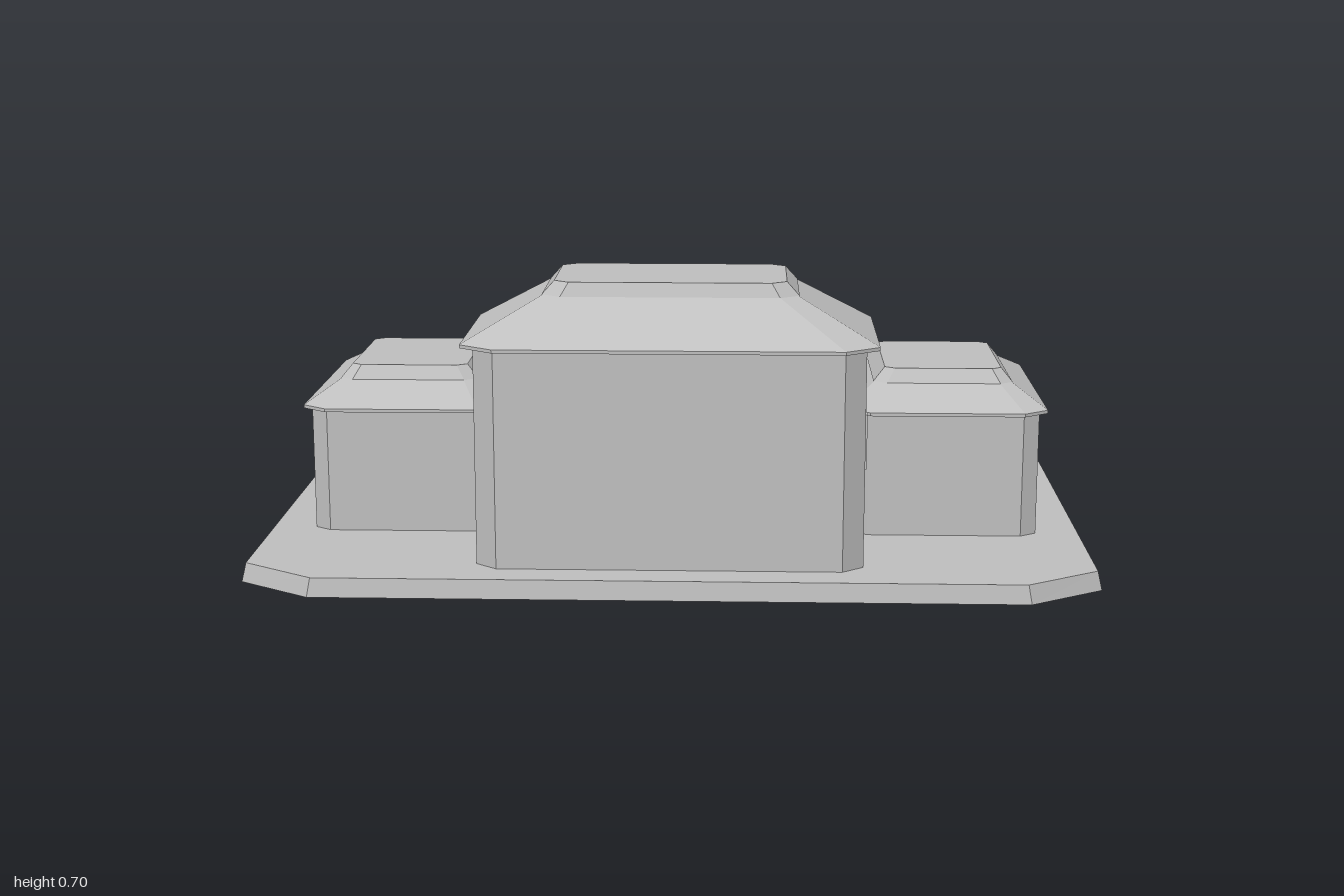
import * as THREE from 'three';

const stone = new THREE.MeshStandardMaterial({ color: 0xc0c0c0, flatShading: true, side: THREE.DoubleSide });
stone.name = 'plain grey';

function part(parent, name, geometry, x = 0, y = 0, z = 0) {
  const mesh = new THREE.Mesh(geometry, stone);
  mesh.name = name;
  mesh.position.set(x, y, z);
  parent.add(mesh);
  return mesh;
}

function group(parent, name, x = 0, y = 0, z = 0) {
  const g = new THREE.Group();
  g.name = name;
  g.position.set(x, y, z);
  parent.add(g);
  return g;
}

// Box from its limits on each axis
function block(parent, name, [x0, x1], [y0, y1], [z0, z1]) {
  return part(parent, name, new THREE.BoxGeometry(x1 - x0, y1 - y0, z1 - z0),
    (x0 + x1) / 2, (y0 + y1) / 2, (z0 + z1) / 2);
}

// Closed solid through corner-cut rectangles: [y, halfX, halfZ, cutX, cutZ]
function cutLoft(layers) {
  const rings = layers.map(([y, hx, hz, cx, cz]) => [
    [hx, y, hz - cz], [hx, y, cz - hz], [hx - cx, y, -hz], [cx - hx, y, -hz],
    [-hx, y, cz - hz], [-hx, y, hz - cz], [cx - hx, y, hz], [hx - cx, y, hz]]);
  const pos = [];
  const tri = (a, b, c) => pos.push(...a, ...b, ...c);
  for (let k = 0; k < rings.length - 1; k++) {
    for (let i = 0; i < 8; i++) {
      const j = (i + 1) % 8, lo = rings[k], hi = rings[k + 1];
      tri(lo[i], lo[j], hi[j]);
      tri(lo[i], hi[j], hi[i]);
    }
  }
  const top = rings[rings.length - 1];
  for (let i = 1; i < 7; i++) {
    tri(rings[0][0], rings[0][i + 1], rings[0][i]);
    tri(top[0], top[i], top[i + 1]);
  }
  const g = new THREE.BufferGeometry();
  g.setAttribute('position', new THREE.Float32BufferAttribute(pos, 3));
  g.computeVertexNormals();
  return g;
}

// Door with posts, lintel and knob, on a wall facing -z
function doorway(parent, halfWidth, top, wallZ) {
  const door = group(parent, 'doorway');
  const w = halfWidth * 0.86;
  block(door, 'door', [-w, w], [0.045, top], [wallZ - 0.01, wallZ + 0.01]);
  block(door, 'lintel', [-halfWidth, halfWidth], [top, top + 0.03], [wallZ - 0.036, wallZ + 0.01]);
  for (const s of [-1, 1]) {
    block(door, 'doorPost', [s * w - 0.015, s * w + 0.015], [0.045, top], [wallZ - 0.024, wallZ + 0.01]);
  }
  part(door, 'doorKnob', new THREE.IcosahedronGeometry(0.01, 0), -0.03, top * 0.65, wallZ - 0.014);
}

function mainHall(root) {
  const hall = group(root, 'mainHall', 0, 0, 0.312);
  part(hall, 'hallWalls', cutLoft([[0.04, 0.45, 0.238, 0.05, 0.041], [0.565, 0.45, 0.238, 0.05, 0.041]]));
  part(hall, 'hallRoof', cutLoft([
    [0.557, 0.48, 0.259, 0.08, 0.06], [0.565, 0.48, 0.259, 0.08, 0.06], [0.675, 0.285, 0.152, 0.04, 0.03]]));
  part(hall, 'hallRoofCap', cutLoft([[0.67, 0.297, 0.158, 0.045, 0.035], [0.702, 0.268, 0.145, 0.035, 0.027]]));
  doorway(hall, 0.2, 0.25, -0.238);
  for (const s of [-1, 1]) {
    block(hall, 'backWindow', [s * 0.3 - 0.04, s * 0.3 + 0.04], [0.28, 0.4], [-0.247, -0.23]);
  }
  block(hall, 'sideWindow', [0.44, 0.458], [0.26, 0.39], [-0.12, 0.12]);
  // Round emblem above the door
  const emblem = group(hall, 'emblem', 0, 0.475, -0.25);
  emblem.scale.y = 0.85;
  part(emblem, 'emblemRing', new THREE.TorusGeometry(0.06, 0.017, 6, 16));
  part(emblem, 'emblemDisc', new THREE.CylinderGeometry(0.035, 0.035, 0.03, 12).rotateX(Math.PI / 2));
}

function sideHouse(root, side) {
  const house = group(root, side > 0 ? 'leftHouse' : 'rightHouse', side * 0.66, 0, -0.064);
  part(house, 'houseWalls', cutLoft([[0.04, 0.226, 0.298, 0.04, 0.028], [0.355, 0.226, 0.298, 0.04, 0.028]]));
  part(house, 'houseRoof', cutLoft([
    [0.348, 0.245, 0.324, 0.06, 0.045], [0.356, 0.245, 0.324, 0.06, 0.045], [0.405, 0.165, 0.19, 0.03, 0.022]]));
  part(house, 'houseRoofCap', cutLoft([[0.403, 0.171, 0.197, 0.032, 0.024], [0.437, 0.143, 0.179, 0.024, 0.018]]));
  doorway(house, 0.11, 0.255, -0.298);
  for (const s of [-1, 1]) {
    block(house, 'backWindow', [s * 0.153 - 0.033, s * 0.153 + 0.033], [0.175, 0.25], [-0.31, -0.29]);
  }
  if (side > 0) block(house, 'sideWindow', [0.22, 0.237], [0.175, 0.25], [-0.147, 0.15]);
}

// Tilted spoked wheel in a cradle on a round plinth
function wheelMonument(root) {
  const plinth = part(root, 'plinth', new THREE.CylinderGeometry(0.27, 0.278, 0.057, 16), 0, 0.068, -0.33);
  plinth.scale.z = 0.69;

  const squash = group(root, 'wheelMonument', 0, 0.33, -0.32);
  squash.scale.set(1, 0.7, 0.68);
  const wheel = group(squash, 'wheel');
  wheel.rotation.x = -THREE.MathUtils.degToRad(25);
  const rim = new THREE.Shape().absarc(0, 0, 0.315, 0, Math.PI * 2);
  rim.holes.push(new THREE.Path().absarc(0, 0, 0.265, 0, Math.PI * 2, true));
  part(wheel, 'rim', new THREE.ExtrudeGeometry(rim, { depth: 0.066, bevelEnabled: false, curveSegments: 20 }), 0, 0, -0.033);
  part(wheel, 'hub', new THREE.CylinderGeometry(0.075, 0.075, 0.06, 12).rotateX(Math.PI / 2));
  for (let i = 0; i < 6; i++) {
    const spoke = new THREE.BoxGeometry(0.032, 0.22, 0.032).translate(0, 0.165, 0);
    part(wheel, 'spoke', spoke).rotation.z = i * Math.PI / 3;
  }
  for (const s of [-1, 1]) {
    const leg = part(root, 'cradleLeg', new THREE.BoxGeometry(0.055, 0.19, 0.05), s * 0.2, 0.165, -0.31);
    leg.rotation.z = -s * 0.45;
  }
}

// Folded pointed leaf leaning outward along +x
function leafGeometry(reach, height, width) {
  const base = [0.01, 0, 0], tip = [reach, height, 0];
  const ridge = [reach * 0.6, height * 0.38, 0];
  const a = [reach * 0.5, height * 0.5, width], b = [reach * 0.5, height * 0.5, -width];
  const g = new THREE.BufferGeometry();
  g.setAttribute('position', new THREE.Float32BufferAttribute(
    [base, a, ridge, a, tip, ridge, base, ridge, b, ridge, tip, b].flat(), 3));
  g.computeVertexNormals();
  return g;
}

function pottedPlant(root, side) {
  const plant = group(root, 'pottedPlant', side * 0.35, 0.04, -0.472);
  plant.scale.z = 0.68;
  part(plant, 'pot', new THREE.CylinderGeometry(0.082, 0.064, 0.062, 8), 0, 0.031, 0);
  part(plant, 'potRim', new THREE.CylinderGeometry(0.09, 0.09, 0.014, 8), 0, 0.064, 0);
  for (let i = 0; i < 7; i++) {
    part(plant, 'leaf', leafGeometry(0.105, 0.1, 0.026), 0, 0.07, 0).rotation.y = i * Math.PI * 2 / 7;
  }
  for (let i = 0; i < 4; i++) {
    part(plant, 'innerLeaf', leafGeometry(0.05, 0.105, 0.02), 0, 0.07, 0).rotation.y = 0.4 + i * Math.PI / 2;
  }
}

export function createModel() {
  const root = new THREE.Group();
  root.name = 'courtyard';
  part(root, 'basePlatform', cutLoft([[0, 1, 0.64, 0.175, 0.115], [0.045, 0.99, 0.634, 0.173, 0.114]]));
  mainHall(root);
  wheelMonument(root);
  for (const side of [-1, 1]) {
    sideHouse(root, side);
    pottedPlant(root, side);
  }
  return root;
}
